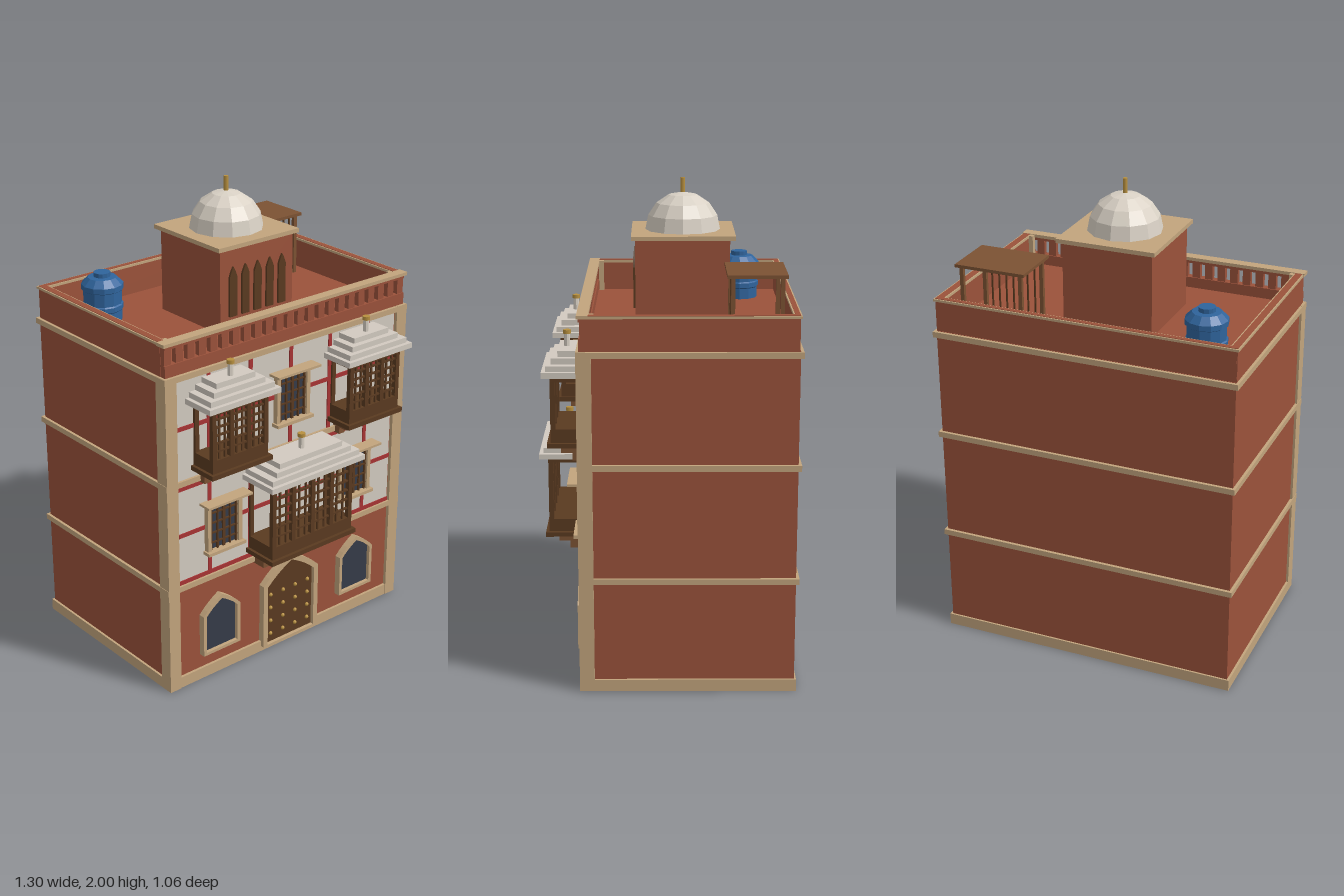
import * as THREE from 'three';

const mat = (name, color, flat = false) => {
  const m = new THREE.MeshStandardMaterial({ color, flatShading: flat });
  m.name = name;
  return m;
};

export function createModel() {
  const root = new THREE.Group();
  root.name = 'townhouse';
  const brick = mat('brick', 0x9b523b), tan = mat('sandstone', 0xc2a47d), plaster = mat('plaster', 0xd2cac0);
  const red = mat('redTimber', 0xa83434), dark = mat('darkWood', 0x5a3a20), wood = mat('wood', 0x7c5233);
  const glass = mat('darkGlass', 0x353b48), gold = mat('brass', 0xb8903f);
  const blue = mat('bluePlastic', 0x2f649c, true), stone = mat('paleStone', 0xd9d1c5, true);

  const group = (name, parent = root) => {
    const g = new THREE.Group();
    g.name = name;
    parent.add(g);
    return g;
  };
  const add = (p, name, geo, m, x = 0, y = 0, z = 0) => {
    const mesh = new THREE.Mesh(geo, m);
    mesh.name = name;
    mesh.position.set(x, y, z);
    p.add(mesh);
    return mesh;
  };
  // box given by its limits
  const box = (p, name, m, x0, x1, y0, y1, z0, z1) =>
    add(p, name, new THREE.BoxGeometry(x1 - x0, y1 - y0, z1 - z0), m, (x0 + x1) / 2, (y0 + y1) / 2, (z0 + z1) / 2);
  const cyl = (p, name, m, r, y0, y1, x, z, n = 12) =>
    add(p, name, new THREE.CylinderGeometry(r, r, y1 - y0, n), m, x, (y0 + y1) / 2, z);
  // pointed arch outline
  const arch = (P, w, y0, ys, yt) => {
    const s = new P();
    s.moveTo(-w, y0);
    s.lineTo(w, y0);
    s.lineTo(w, ys);
    s.quadraticCurveTo(w * 0.62, ys + (yt - ys) * 0.55, 0, yt);
    s.quadraticCurveTo(-w * 0.62, ys + (yt - ys) * 0.55, -w, ys);
    return s;
  };
  const extrude = (s, depth) => new THREE.ExtrudeGeometry(s, { depth, bevelEnabled: false, curveSegments: 4 });

  // main body, plinth, floor bands and corner pilasters
  const body = group('body');
  box(body, 'walls', brick, -0.64, 0.64, 0.02, 1.41, -0.517, 0.335);
  box(body, 'plinth', tan, -0.65, 0.65, 0, 0.05, -0.525, 0.347);
  for (const y of [0.46, 0.932, 1.385]) box(body, 'floorBand', tan, -0.652, 0.652, y, y + 0.024, -0.53, 0.35);
  for (const s of [-1, 1]) box(body, 'cornerPilaster', tan, s * 0.622 - 0.028, s * 0.622 + 0.028, 0, 1.41, 0.29, 0.35);
  box(body, 'roofFloor', brick, -0.62, 0.62, 1.405, 1.414, -0.5, 0.32);

  // plaster facade with painted timber strips
  const facade = group('facade');
  box(facade, 'plasterPanel', plaster, -0.588, 0.588, 0.486, 1.385, 0.33, 0.339);
  for (const y of [0.495, 0.71, 0.919, 1.18]) box(facade, 'timberRail', red, -0.588, 0.588, y - 0.009, y + 0.009, 0.337, 0.343);
  for (const x of [-0.43, -0.215, 0, 0.215, 0.43]) {
    box(facade, 'timberPost', red, x - 0.009, x + 0.009, 0.486, 0.932, 0.337, 0.343);
    box(facade, 'timberPost', red, x - 0.009, x + 0.009, 0.956, 1.385, 0.337, 0.343);
  }

  // parapet: solid sides and back, pierced front
  const parapet = group('parapet');
  for (const s of [-1, 1]) {
    box(parapet, 'sideParapet', brick, s * 0.627 - 0.014, s * 0.627 + 0.014, 1.41, 1.551, -0.513, 0.31);
    box(parapet, 'sideCap', tan, s * 0.627 - 0.02, s * 0.627 + 0.02, 1.539, 1.549, -0.52, 0.31);
    box(parapet, 'cornerPost', tan, s * 0.6 - 0.01, s * 0.6 + 0.01, 1.41, 1.549, 0.28, 0.302);
  }
  box(parapet, 'backParapet', brick, -0.638, 0.638, 1.41, 1.551, -0.514, -0.494);
  box(parapet, 'backCap', tan, -0.645, 0.645, 1.539, 1.549, -0.52, -0.488);
  box(parapet, 'frontParapet', brick, -0.64, 0.64, 1.41, 1.46, 0.305, 0.338);
  box(parapet, 'frontTopRail', brick, -0.64, 0.64, 1.525, 1.54, 0.305, 0.338);
  box(parapet, 'frontCap', tan, -0.65, 0.65, 1.538, 1.552, 0.3, 0.345);
  for (let i = 0; i < 23; i++) {
    const x = -0.622 + i * 1.244 / 22;
    box(parapet, 'baluster', brick, x - 0.017, x + 0.017, 1.46, 1.53, 0.31, 0.333);
  }

  // stair tower with dome
  const tower = group('stairTower');
  box(tower, 'towerWalls', brick, -0.193, 0.193, 1.41, 1.77, -0.26, 0.125);
  box(tower, 'towerSlab', tan, -0.212, 0.212, 1.768, 1.786, -0.283, 0.142);
  for (let i = -2; i <= 2; i++)
    add(tower, 'archedLouver', extrude(arch(THREE.Shape, 0.019, 1.48, 1.65, 1.692), 0.009), dark, i * 0.065, 0, 0.125);
  add(tower, 'dome', new THREE.SphereGeometry(0.155, 12, 4, 0, Math.PI * 2, 0, Math.PI / 2), stone, 0, 1.786, -0.07);
  cyl(tower, 'domeFinial', gold, 0.01, 1.92, 2, 0, -0.07, 8);

  // water tank
  const tankProfile = [[0, 1.41], [0.08, 1.41], [0.08, 1.46], [0.086, 1.465], [0.086, 1.485], [0.08, 1.49], [0.08, 1.545],
    [0.088, 1.55], [0.088, 1.572], [0.06, 1.6], [0.035, 1.602], [0.035, 1.62], [0, 1.62]];
  const pts = tankProfile.map(([r, y]) => new THREE.Vector2(r, y));
  add(group('waterTank'), 'tank', new THREE.LatheGeometry(pts, 12), blue, -0.45, 0, -0.328);

  // roof pergola
  const pergola = group('pergola');
  box(pergola, 'pergolaRoof', wood, 0.265, 0.568, 1.679, 1.692, -0.47, -0.235);
  for (const x of [0.288, 0.546]) for (const z of [-0.45, -0.258])
    box(pergola, 'pergolaPost', wood, x - 0.008, x + 0.008, 1.41, 1.68, z - 0.008, z + 0.008);
  for (let i = 1; i < 8; i++) {
    const x = 0.288 + i * 0.258 / 8;
    box(pergola, 'screenSlat', dark, x - 0.003, x + 0.003, 1.41, 1.68, -0.261, -0.255);
  }
  box(pergola, 'screenRail', wood, 0.288, 0.546, 1.414, 1.43, -0.264, -0.252);

  // projecting lattice bay with stepped roof
  const bay = (name, cx, w, yb, yt, zf, cols, tiers, legX, fz) => {
    const g = group(name);
    g.position.x = cx;
    const zb = 0.337, y0 = yb + 0.075, y1 = yt - 0.012;
    box(g, 'bayFloor', dark, -w - 0.013, w + 0.013, yb, yb + 0.02, zb, zf + 0.014);
    box(g, 'bayApron', dark, -w, w, yb + 0.02, y0, zb, zf);
    box(g, 'bayHead', dark, -w, w, y1 - 0.012, yt, zb, zf);
    for (const s of [-1, 1]) box(g, 'wallPost', dark, s * (w - 0.01) - 0.01, s * (w - 0.01) + 0.01, y0, y1, zb, zb + 0.014);
    for (let i = 0; i <= cols; i++) {
      const x = -w + 0.01 + i * (2 * w - 0.02) / cols;
      box(g, 'frontPost', dark, x - 0.01, x + 0.01, y0, y1, zf - 0.02, zf);
    }
    const n = cols * 3;
    for (let i = 1; i < n; i++) {
      if (i % 3 === 0) continue;
      const x = -w + 0.01 + i * (2 * w - 0.02) / n;
      box(g, 'latticeBar', dark, x - 0.0035, x + 0.0035, y0, y1, zf - 0.014, zf - 0.006);
    }
    for (let j = 1; j < 6; j++) {
      const y = y0 + j * (y1 - y0) / 6;
      box(g, 'latticeRail', dark, -w, w, y - 0.0035, y + 0.0035, zf - 0.015, zf - 0.005);
    }
    for (const x of [-legX, 0, legX]) {
      box(g, 'bracket', wood, x - 0.018, x + 0.018, yb - 0.03, yb, zb, zf - 0.04);
      box(g, 'bracketFoot', wood, x - 0.016, x + 0.016, yb - 0.062, yb - 0.03, zb, zf - 0.085);
    }
    tiers.forEach(([tw, tz], i) => box(g, 'roofTier', plaster, -tw, tw, yt + i * 0.023, yt + i * 0.023 + 0.023, zb, tz));
    const top = yt + tiers.length * 0.023;
    cyl(g, 'roofFinial', stone, 0.012, top, top + 0.05, 0, fz, 8);
    cyl(g, 'finialCap', gold, 0.016, top + 0.05, top + 0.066, 0, fz, 8);
  };
  for (const s of [-1, 1])
    bay('upperBay', s * 0.365, 0.142, 0.988, 1.28, 0.46, 3, [[0.18, 0.492], [0.162, 0.475], [0.13, 0.455], [0.098, 0.43]], 0.1, 0.396);
  bay('centralBay', 0, 0.222, 0.515, 0.862, 0.492, 4, [[0.256, 0.527], [0.24, 0.51], [0.205, 0.495], [0.172, 0.475]], 0.18, 0.412);

  // framed windows with grilles
  const grilleWindow = (cx, yb) => {
    const g = group('grilleWindow');
    g.position.set(cx, yb, 0);
    box(g, 'windowGlass', glass, -0.074, 0.074, 0.015, 0.22, 0.337, 0.346);
    for (const s of [-1, 1]) box(g, 'windowJamb', tan, s * 0.081 - 0.009, s * 0.081 + 0.009, 0.012, 0.222, 0.337, 0.362);
    box(g, 'windowLintel', tan, -0.09, 0.09, 0.208, 0.228, 0.337, 0.362);
    box(g, 'windowSill', tan, -0.098, 0.098, 0, 0.014, 0.337, 0.378);
    box(g, 'windowHood', tan, -0.115, 0.115, 0.228, 0.238, 0.337, 0.4);
    for (const x of [-0.065, -0.033, 0, 0.033, 0.065]) {
      const t = x === 0 ? 0.006 : 0.0035;
      box(g, 'grilleBar', dark, x - t, x + t, 0.014, 0.208, 0.346, 0.355);
    }
    for (const y of [0.045, 0.09, 0.135, 0.18]) box(g, 'grilleRail', dark, -0.072, 0.072, y - 0.003, y + 0.003, 0.347, 0.354);
  };
  grilleWindow(0, 1.052);
  for (const s of [-1, 1]) grilleWindow(s * 0.365, 0.587);

  // pointed openings on the ground floor
  const opening = (name, cx, outer, inner, m) => {
    const g = group(name);
    g.position.x = cx;
    const frame = arch(THREE.Shape, ...outer);
    frame.holes.push(arch(THREE.Path, ...inner));
    add(g, 'archFrame', extrude(frame, 0.03), tan, 0, 0, 0.334);
    add(g, 'archPanel', extrude(arch(THREE.Shape, ...inner), 0.014), m, 0, 0, 0.334);
    return g;
  };
  for (const s of [-1, 1])
    opening('archedWindow', s * 0.385, [0.098, 0.115, 0.305, 0.382], [0.083, 0.128, 0.3, 0.362], glass);
  const door = opening('frontDoor', 0, [0.156, 0.025, 0.325, 0.435], [0.132, 0.03, 0.315, 0.405], dark);
  for (const x of [-0.105, -0.035, 0.035, 0.105]) for (const y of [0.072, 0.136, 0.2, 0.264])
    add(door, 'doorStud', new THREE.SphereGeometry(0.009, 8, 6), gold, x, y, 0.35);

  return root;
}
